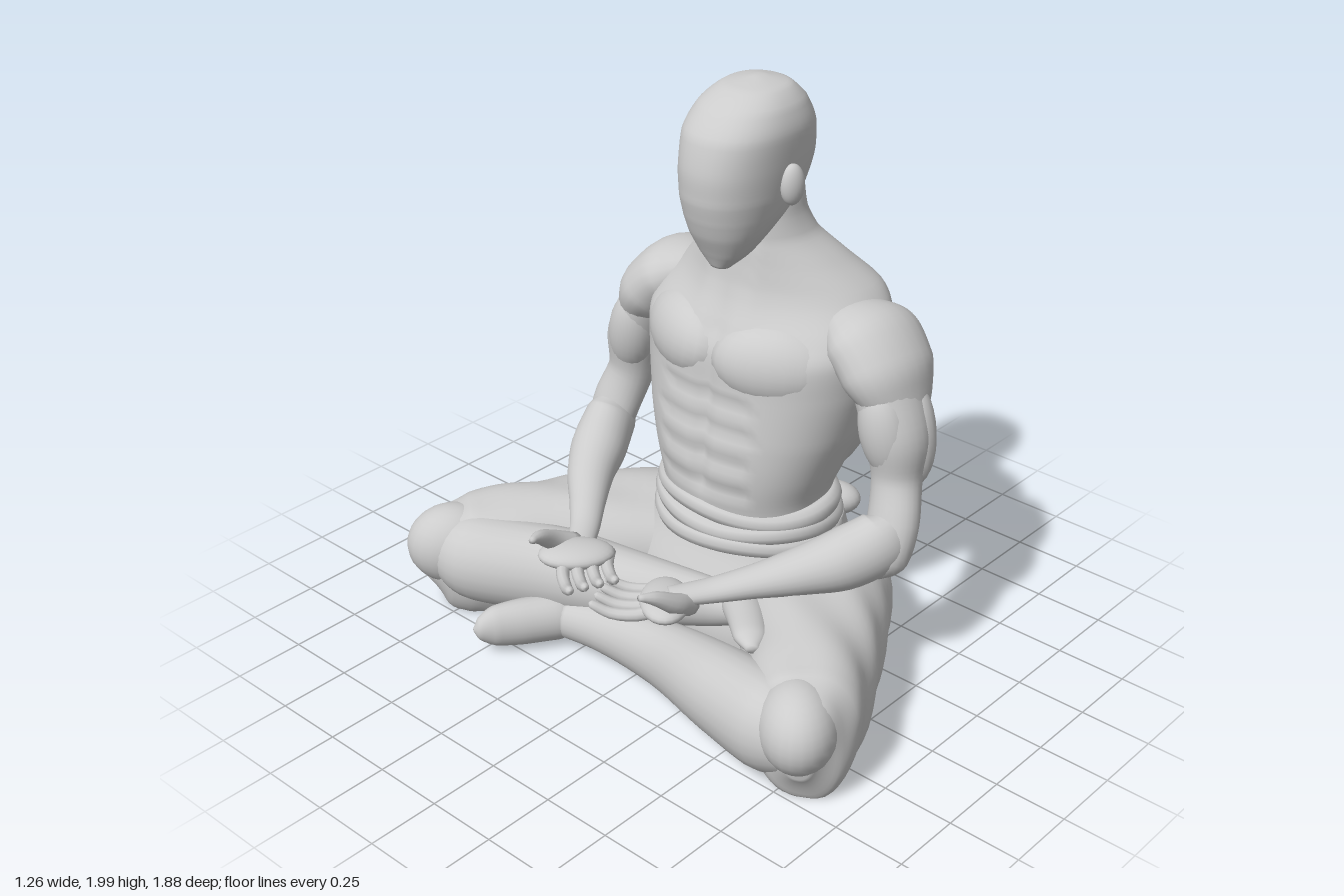
import * as THREE from 'three';

const V = (x, y, z) => new THREE.Vector3(x, y, z);
const skin = new THREE.MeshStandardMaterial({ color: 0xcccccc });

// Smooth skin over rings [x, y, z, sideRadius, otherRadius].
// upright keeps rings level (side = z, other = x); warp moves each vertex.
function loft(name, rings, { upright = false, ref = V(0, 1, 0), power = 2, seg = 24, steps = 6, warp } = {}) {
  const path = new THREE.CatmullRomCurve3(rings.map(r => V(r[0], r[1], r[2])));
  const size = new THREE.CatmullRomCurve3(rings.map(r => V(r[3], r[4] ?? r[3], 0)));
  const n = (rings.length - 1) * steps, pos = [], idx = [];
  const add = p => { if (warp) warp(p); pos.push(p.x, p.y, p.z); };
  for (let i = 0; i <= n; i++) {
    const c = path.getPoint(i / n), r = size.getPoint(i / n), t = path.getTangent(i / n);
    const u = upright ? V(0, 0, 1) : t.clone().cross(ref).normalize();
    const v = upright ? V(1, 0, 0) : t.clone().cross(u);
    for (let j = 0; j < seg; j++) {
      const a = j / seg * Math.PI * 2, co = Math.cos(a), si = Math.sin(a);
      const k = Math.pow(Math.abs(co) ** power + Math.abs(si) ** power, -1 / power);
      add(c.clone().addScaledVector(u, co * k * Math.max(r.x, 0.002)).addScaledVector(v, si * k * Math.max(r.y, 0.002)));
    }
  }
  for (let i = 0; i < n; i++) for (let j = 0; j < seg; j++) {
    const a = i * seg + j, b = i * seg + (j + 1) % seg;
    idx.push(a, b, a + seg, b, b + seg, a + seg);
  }
  // end caps
  const s = pos.length / 3, last = n * seg;
  add(path.getPoint(0)); add(path.getPoint(1));
  for (let j = 0; j < seg; j++) {
    const k = (j + 1) % seg;
    idx.push(s, k, j, s + 1, last + j, last + k);
  }
  const g = new THREE.BufferGeometry();
  g.setAttribute('position', new THREE.Float32BufferAttribute(pos, 3));
  g.setIndex(idx);
  g.computeVertexNormals();
  const m = new THREE.Mesh(g, skin);
  m.name = name;
  return m;
}

function blob(name, c, r, rot = [0, 0, 0]) {
  const m = new THREE.Mesh(new THREE.SphereGeometry(1, 24, 16), skin);
  m.name = name;
  m.position.set(...c);
  m.scale.set(...r);
  m.rotation.set(...rot);
  return m;
}

// [y, xFront, xBack, halfWidth] -> level ring
const level = ([y, x0, x1, w]) => [(x0 + x1) / 2, y, 0, w, (x1 - x0) / 2];
const bell = (d, w) => Math.exp(-((d / w) ** 2));
const floor = p => { p.y = Math.max(p.y, 0.01); };

export function createModel() {
  const model = new THREE.Group();
  model.name = 'seatedFigure';

  // torso and neck: shoulders swept back, spine and breastbone furrows, stomach creases
  model.add(loft('torso', [
    [0.42, 0.02, 0.49, 0.31], [0.55, -0.01, 0.485, 0.305], [0.68, -0.02, 0.53, 0.345],
    [0.82, -0.01, 0.59, 0.395], [0.98, 0.01, 0.625, 0.43], [1.10, 0.02, 0.635, 0.44],
    [1.20, 0.07, 0.62, 0.43], [1.30, 0.12, 0.575, 0.365], [1.39, 0.14, 0.515, 0.265],
    [1.48, 0.15, 0.455, 0.175], [1.56, 0.16, 0.42, 0.148], [1.66, 0.18, 0.40, 0.14],
  ].map(level), {
    upright: true, power: 2.25, seg: 80, warp: p => {
      const trunk = THREE.MathUtils.smoothstep(p.y, 0.55, 0.7) * (1 - THREE.MathUtils.smoothstep(p.y, 1.15, 1.35));
      const yoke = THREE.MathUtils.smoothstep(p.y, 1.12, 1.32);
      if (p.x > 0.35) p.x -= 0.022 * trunk * bell(p.z, 0.035);
      else if (p.x < 0.2) {
        p.x += 0.02 * trunk * bell(p.z, 0.025);
        if (p.y < 0.97 && Math.abs(p.z) < 0.19) for (const y of [0.63, 0.74, 0.85, 0.95]) p.x += 0.012 * bell(p.y - y, 0.02);
      }
      p.x += 0.3 * yoke * Math.max(0, Math.abs(p.z) - 0.1);
    },
  }));

  // head: chin forward and low, crown set back
  model.add(loft('head', [
    [1.40, 0.06, 0.12, 0.035], [1.45, 0.035, 0.19, 0.085], [1.52, 0.0, 0.28, 0.125],
    [1.58, -0.02, 0.36, 0.148], [1.65, -0.035, 0.425, 0.165], [1.75, -0.035, 0.465, 0.176],
    [1.85, -0.01, 0.458, 0.18], [1.93, 0.06, 0.418, 0.155], [1.98, 0.15, 0.365, 0.105], [2.0, 0.25, 0.29, 0.015],
  ].map(level), { upright: true, power: 2.3, seg: 40 }));

  // trousers: seat resting on the ground
  model.add(loft('trouserSeat', [
    [0.01, -0.12, 0.60, 0.47], [0.14, -0.12, 0.585, 0.455], [0.28, -0.08, 0.55, 0.415],
    [0.38, -0.03, 0.525, 0.365], [0.45, 0.0, 0.51, 0.34],
  ].map(level), {
    upright: true, power: 2.3, seg: 72, warp: p => {
      const a = Math.atan2(p.z, p.x - 0.22);
      if (p.x > 0.3) p.x += 0.008 * Math.sin(a * 11 + p.y * 9);
    },
  }));

  // wrapped sash: stacked uneven rolls and a side knot
  [[0.425, 0.35, 0.295], [0.475, 0.35, 0.285], [0.525, 0.345, 0.27]].forEach(([y, w, d], i) => {
    const points = [];
    for (let k = 0; k < 24; k++) {
      const a = k / 24 * Math.PI * 2;
      points.push(V(0.245 + (d - 0.035) * Math.cos(a), y + 0.008 * Math.sin(3 * a + i * 2), (w - 0.035) * Math.sin(a)));
    }
    const roll = new THREE.Mesh(new THREE.TubeGeometry(new THREE.CatmullRomCurve3(points, true), 72, 0.04, 10, true), skin);
    roll.name = 'sashRoll';
    model.add(roll);
  });
  model.add(blob('sashKnot', [0.465, 0.44, 0.2], [0.07, 0.06, 0.1], [0, 0.5, 0]));

  for (const s of [1, -1]) {
    const side = new THREE.Group();
    side.name = s > 0 ? 'leftOuterBody' : 'rightOuterBody';
    model.add(side);
    const rings = list => list.map(([x, y, z, ...r]) => [x, y, z * s, ...r]);
    const part = (name, c, r, [a, b, d] = [0, 0, 0]) =>
      side.add(blob(name, [c[0], c[1], c[2] * s], r, [a * s, b * s, d]));

    // ear, chest and back muscles
    part('ear', [0.22, 1.69, 0.185], [0.042, 0.07, 0.032], [0, -0.4, 0]);
    part('chestMuscle', [0.15, 1.085, 0.19], [0.12, 0.145, 0.22], [0, 0.45, -0.2]);
    part('sideMuscle', [0.37, 0.95, 0.29], [0.19, 0.34, 0.135], [0.2, 0, -0.05]);
    part('shoulderBlade', [0.475, 1.1, 0.31], [0.12, 0.17, 0.215], [0.2, -0.35, 0.1]);
    part('neckMuscle', [0.41, 1.31, 0.24], [0.1, 0.06, 0.19], [0.5, 0, 0]);
    part('collarBone', [0.22, 1.235, 0.22], [0.035, 0.03, 0.2], [-0.1, 0.5, 0]);

    // shoulder cap tapering into the arm
    side.add(loft('shoulder', rings([
      [0.39, 1.25, 0.27, 0.02, 0.06], [0.375, 1.215, 0.34, 0.085, 0.14], [0.36, 1.165, 0.43, 0.125, 0.19],
      [0.345, 1.09, 0.5, 0.125, 0.185], [0.335, 1.01, 0.55, 0.095, 0.145], [0.32, 0.92, 0.595, 0.06, 0.07], [0.32, 0.87, 0.61, 0.01, 0.01],
    ]), { ref: V(1, 0, 0) }));
    side.add(loft('upperArm', rings([
      [0.34, 1.2, 0.46, 0.07, 0.09], [0.32, 1.05, 0.52, 0.1, 0.13], [0.305, 0.9, 0.58, 0.105, 0.12],
      [0.285, 0.75, 0.6, 0.085, 0.085], [0.235, 0.62, 0.63, 0.092, 0.075], [0.195, 0.51, 0.635, 0.08, 0.075], [0.17, 0.44, 0.61, 0.03, 0.03],
    ]), { ref: V(1, 0, 0) }));
    part('biceps', [0.26, 0.92, 0.565], [0.085, 0.17, 0.09], [-0.2, 0, 0.1]);
    part('triceps', [0.355, 0.9, 0.595], [0.075, 0.19, 0.09], [-0.2, 0, -0.1]);
    const out = s > 0 ? 0 : 0.06;
    side.add(loft('forearm', rings([
      [0.27, 0.66, 0.64, 0.03], [0.2, 0.575, 0.625, 0.09, 0.11], [0.1, 0.515, 0.555 + out / 2, 0.1, 0.108],
      [-0.02, 0.475, 0.455 + out, 0.085, 0.08], [-0.15, 0.445, 0.345 + out, 0.063, 0.052], [-0.25, 0.425, 0.26 + out, 0.052, 0.038], [-0.36, 0.42, 0.18 + out, 0.045, 0.028],
    ])));

    // upturned hand: palm, four fingers, thumb
    const hx = s > 0 ? 0.03 : 0, hz = s > 0 ? 0 : 0.06, hy = s > 0 ? 0.385 : 0.42;
    part('palm', [-0.39 + hx, hy + 0.01, 0.16 + hz], [0.13, 0.04, 0.085], [0, 0.75, 0]);
    for (let k = 0; k < 4; k++) {
      const x = -0.49 + hx + k * 0.048, z = 0.125 + hz - k * 0.022;
      side.add(loft('finger', rings([
        [x + 0.05, hy, z + 0.04, 0.024], [x, hy - 0.012, z, 0.022],
        [x - 0.05, hy - 0.01, z - 0.07, 0.02], [x - 0.085, hy + 0.02, z - 0.12, 0.015], [x - 0.09, hy + 0.024, z - 0.128, 0.003],
      ]), { seg: 10, steps: 3 }));
    }
    side.add(loft('thumb', rings([
      [-0.34 + hx, hy, 0.22 + hz, 0.04], [-0.42 + hx, hy + 0.045, 0.235 + hz, 0.036],
      [-0.5 + hx, hy + 0.1, 0.22 + hz, 0.024], [-0.555 + hx, hy + 0.12, 0.2 + hz, 0.01],
    ]), { seg: 10, steps: 4 }));

    // trouser leg with soft folds, spreading flat on the ground, and knee
    side.add(loft('thigh', rings([
      [0.47, 0.16, 0.09, 0.1, 0.1], [0.38, 0.18, 0.18, 0.245, 0.17], [0.2, 0.2, 0.33, 0.275, 0.205], [-0.03, 0.2, 0.52, 0.235, 0.22],
      [-0.24, 0.205, 0.67, 0.205, 0.215], [-0.38, 0.21, 0.775, 0.17, 0.2], [-0.46, 0.22, 0.825, 0.125, 0.165], [-0.52, 0.22, 0.86, 0.05, 0.08],
    ]), {
      power: 2.4, seg: 48, warp: p => {
        if (p.y < 0.2) p.y = 0.2 + (p.y - 0.2) * 1.25;
        p.y += 0.006 * Math.sin(p.x * 22 + Math.abs(p.z) * 9);
        p.z += s * 0.006 * Math.sin(p.x * 26 - p.y * 14);
        floor(p);
      },
    }));
    part('knee', [-0.43, 0.25, s > 0 ? 0.785 : 0.8], [0.17, 0.15, 0.13], [0, 0.75, 0]);
  }

  // crossed shins: the right one lies over the left
  model.add(loft('rightShin', [
    [-0.46, 0.24, -0.86, 0.08, 0.1], [-0.41, 0.23, -0.68, 0.15, 0.16], [-0.28, 0.23, -0.4, 0.14, 0.155],
    [-0.2, 0.25, -0.1, 0.11, 0.125], [-0.12, 0.27, 0.16, 0.075, 0.085], [-0.1, 0.29, 0.27, 0.06, 0.06],
  ], { warp: floor }));
  model.add(loft('rightFoot', [
    [-0.06, 0.3, 0.22, 0.04], [-0.11, 0.31, 0.28, 0.07, 0.06], [-0.19, 0.33, 0.37, 0.065, 0.05],
    [-0.28, 0.35, 0.46, 0.055, 0.035], [-0.33, 0.35, 0.51, 0.02, 0.015],
  ]));
  model.add(loft('leftShin', [
    [-0.46, 0.22, 0.85, 0.08, 0.1], [-0.425, 0.2, 0.66, 0.145, 0.165], [-0.38, 0.18, 0.42, 0.135, 0.15],
    [-0.32, 0.14, 0.12, 0.1, 0.12], [-0.32, 0.12, -0.15, 0.08, 0.09], [-0.36, 0.11, -0.32, 0.06, 0.07],
  ], { warp: floor }));
  model.add(loft('leftFoot', [
    [-0.3, 0.1, -0.3, 0.04], [-0.37, 0.11, -0.345, 0.075, 0.085], [-0.47, 0.11, -0.41, 0.07, 0.085],
    [-0.56, 0.11, -0.465, 0.055, 0.075], [-0.61, 0.11, -0.49, 0.03, 0.04], [-0.625, 0.11, -0.5, 0.005],
  ], { warp: floor }));

  return model;
}
